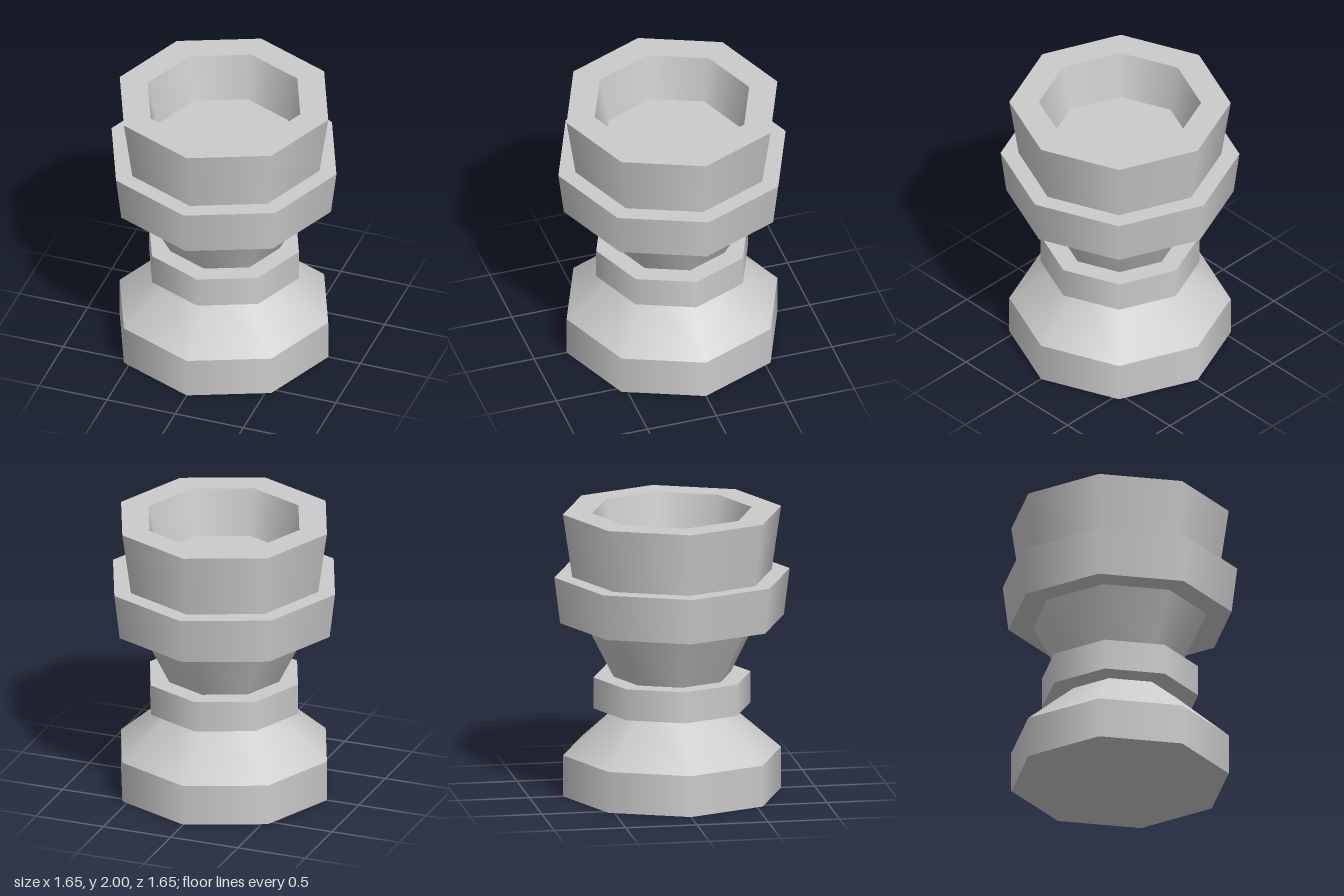
import * as THREE from 'three';
import { mergeGeometries } from 'three/addons/utils/BufferGeometryUtils.js';

const SIDES = 8;

// Turns a profile of [radius, height] points: smooth around the axis, sharp between bands.
function turned(name, profile, material) {
  const bands = [];
  for (let i = 0; i < profile.length - 1; i++) {
    const pair = [profile[i], profile[i + 1]].map(([r, y]) => new THREE.Vector2(r, y));
    bands.push(new THREE.LatheGeometry(pair, SIDES));
  }
  const mesh = new THREE.Mesh(mergeGeometries(bands), material);
  mesh.name = name;
  return mesh;
}

export function createModel() {
  const group = new THREE.Group();
  group.name = 'octagonalPedestalCup';
  const grey = new THREE.MeshStandardMaterial({ color: 0xcccccc });

  group.add(
    // Foot with straight sides and sloping shoulder
    turned('foot', [[0, 0], [0.765, 0], [0.765, 0.29], [0.39, 0.615]], grey),
    // Ring around the waist
    turned('waistRing', [[0.39, 0.615], [0.55, 0.615], [0.55, 0.835], [0.41, 0.835]], grey),
    // Flaring neck
    turned('neck', [[0.41, 0.835], [0.61, 1.23]], grey),
    // Wide band below the cup
    turned('collar', [[0.61, 1.23], [0.785, 1.23], [0.825, 1.555], [0.7, 1.555]], grey),
    // Cup wall, rim and recessed floor
    turned('cup', [[0.7, 1.555], [0.765, 2], [0.56, 2], [0.49, 1.67], [0, 1.67]], grey)
  );
  return group;
}
